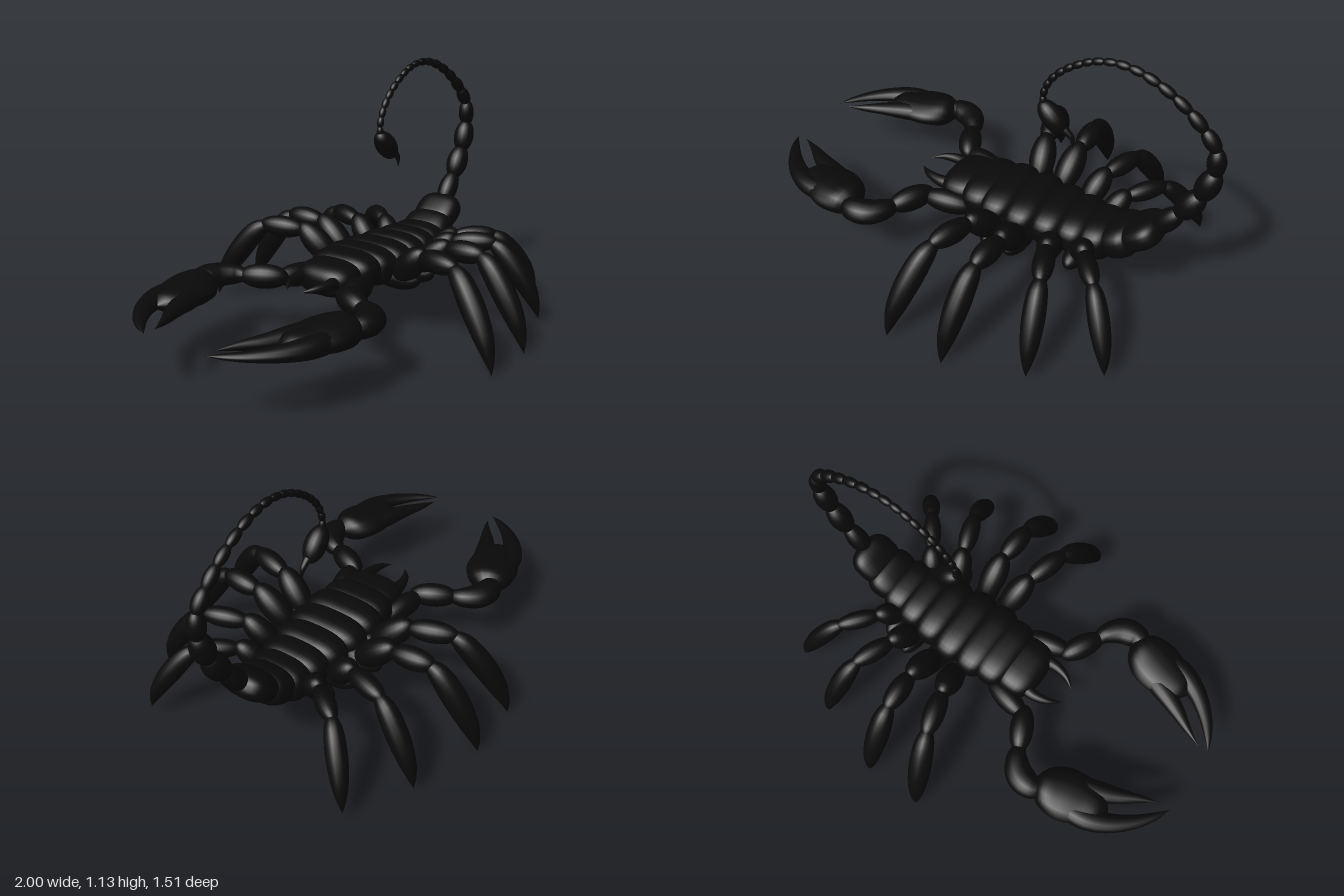
import * as THREE from 'three';
import { mergeVertices } from 'three/addons/utils/BufferGeometryUtils.js';

const shell = new THREE.MeshStandardMaterial({ color: 0x090909 });
shell.name = 'black shell';
const V = (x, y, z) => new THREE.Vector3(x, y, z);

function add(parent, name, geometry) {
  const mesh = new THREE.Mesh(geometry, shell);
  mesh.name = name;
  parent.add(mesh);
  return mesh;
}

// Ellipsoid stretched from a to b
function bead(parent, name, a, b, r) {
  const mesh = add(parent, name, new THREE.SphereGeometry(1, 20, 14));
  const d = b.clone().sub(a);
  mesh.scale.set(r, d.length() / 2, r);
  mesh.position.copy(a).add(b).multiplyScalar(0.5);
  mesh.quaternion.setFromUnitVectors(V(0, 1, 0), d.normalize());
}

// Rounded, slightly boxy plate of the body
function plate(parent, name, x, y, sx, sy, sz, tilt) {
  let g = new THREE.SphereGeometry(1, 32, 18);
  g.deleteAttribute('uv');
  g.deleteAttribute('normal');
  g.rotateZ(Math.PI / 2);
  const p = g.attributes.position;
  const box = (v) => (Math.abs(v) < 1e-6 ? 0 : Math.sign(v) * Math.abs(v) ** 0.75);
  for (let i = 0; i < p.count; i++) {
    p.setXYZ(i, box(p.getX(i)) * sx, box(p.getY(i)) * sy, box(p.getZ(i)) * sz);
  }
  g = mergeVertices(g, 1e-5);
  g.computeVertexNormals();
  const mesh = add(parent, name, g);
  mesh.position.set(x, y, 0);
  mesh.rotation.z = tilt;
}

// Sweep of elliptical sections; sizes are [half width, half height], ref is the height axis
function sweep(parent, name, points, sizes, ref) {
  const path = new THREE.CatmullRomCurve3(points);
  const size = new THREE.CatmullRomCurve3(sizes.map(([w, h]) => V(w, h, 0)), false, 'catmullrom', 0.5);
  const N = 24, M = 16, pos = [], index = [];
  for (let i = 0; i <= N; i++) {
    const c = path.getPoint(i / N), t = path.getTangent(i / N), s = size.getPoint(i / N);
    const side = t.clone().cross(ref).normalize();
    const up = side.clone().cross(t);
    for (let j = 0; j < M; j++) {
      const a = (j / M) * Math.PI * 2;
      const q = c.clone()
        .addScaledVector(side, Math.cos(a) * Math.max(s.x, 0.0005))
        .addScaledVector(up, Math.sin(a) * Math.max(s.y, 0.0005));
      pos.push(q.x, q.y, q.z);
      if (i < N) {
        const k = i * M + j, l = i * M + ((j + 1) % M);
        index.push(k, k + M, l, l, k + M, l + M);
      }
    }
  }
  const g = new THREE.BufferGeometry();
  g.setAttribute('position', new THREE.Float32BufferAttribute(pos, 3));
  g.setIndex(index);
  g.computeVertexNormals();
  add(parent, name, g);
}

function buildBody(root) {
  const body = new THREE.Group();
  body.name = 'body';
  root.add(body);
  // x, y, half length, half height, half width, tilt
  [
    [-0.12, 0.278, 0.1, 0.072, 0.142, 0.1],
    [-0.01, 0.287, 0.09, 0.082, 0.167, 0.05],
    [0.09, 0.285, 0.09, 0.088, 0.184, 0],
    [0.21, 0.283, 0.09, 0.088, 0.184, 0],
    [0.33, 0.283, 0.085, 0.088, 0.17, 0],
    [0.44, 0.283, 0.08, 0.086, 0.154, 0],
    [0.54, 0.285, 0.08, 0.085, 0.137, 0.1],
    [0.635, 0.32, 0.085, 0.075, 0.122, 0.5],
    [0.72, 0.383, 0.095, 0.06, 0.109, 0.65],
  ].forEach((s, i) => plate(body, 'bodySegment' + (i + 1), ...s));
}

function buildTail(root) {
  const tail = new THREE.Group();
  tail.name = 'tail';
  root.add(tail);
  // Joints between tail beads, with bead radii
  const joints = [
    [0.765, 0.42], [0.855, 0.54], [0.925, 0.66], [0.965, 0.785], [0.958, 0.89], [0.9, 0.96],
    [0.835, 1.017], [0.77, 1.06], [0.705, 1.093], [0.642, 1.115], [0.585, 1.125], [0.53, 1.125],
    [0.48, 1.115], [0.435, 1.1], [0.395, 1.078], [0.355, 1.052], [0.318, 1.022], [0.285, 0.988],
    [0.258, 0.95], [0.24, 0.91], [0.231, 0.868], [0.236, 0.825],
  ];
  const radii = [0.046, 0.051, 0.048, 0.037, 0.031, 0.027, 0.023, 0.021, 0.02, 0.018, 0.017];
  for (let i = 0; i + 1 < joints.length; i++) {
    const a = V(...joints[i], 0), b = V(...joints[i + 1], 0);
    const d = b.clone().sub(a).multiplyScalar(0.12);
    bead(tail, 'tailBead' + (i + 1), a.sub(d), b.add(d), radii[i] ?? 0.0155);
  }
  bead(tail, 'venomBulb', V(0.222, 0.842, 0), V(0.335, 0.722, 0), 0.047);
  sweep(tail, 'stinger', [V(0.3, 0.755, 0), V(0.345, 0.735, 0), V(0.37, 0.71, 0), V(0.375, 0.665, 0)],
    [[0.026, 0.026], [0.016, 0.016], [0.011, 0.011], [0, 0]], V(0, 0, 1));
}

// Hip, first joint, knee and foot as [x, z]; then knee height, foot height and thickness
const legs = [
  [[0.13, 0.17], [0.085, 0.34], [0.035, 0.51], [-0.05, 0.752], 0.385, 0.01, 1],
  [[0.24, 0.17], [0.25, 0.36], [0.24, 0.52], [0.218, 0.752], 0.385, 0.01, 1],
  [[0.38, 0.14], [0.425, 0.28], [0.485, 0.44], [0.548, 0.648], 0.365, 0.035, 0.92],
  [[0.49, 0.11], [0.56, 0.21], [0.66, 0.34], [0.812, 0.495], 0.345, 0.05, 0.85],
];

function buildLeg(root, spec, s, name) {
  const [hip, joint, knee, foot, ky, fy, k] = spec;
  const leg = new THREE.Group();
  leg.name = name;
  root.add(leg);
  const at = ([x, z], y) => V(x, y, z * s);
  const mix = (u) => [knee[0] + (foot[0] - knee[0]) * u, knee[1] + (foot[1] - knee[1]) * u];
  const between = (u) => fy + (ky - fy) * u;
  bead(leg, 'legHip', V(hip[0], 0.245, 0.05 * s), at(hip, 0.245).add(V(0, 0, 0.12 * s)), 0.053 * k);
  bead(leg, 'upperLeg', at(hip, 0.24), at(joint, ky + 0.02), 0.06 * k);
  const d = at(knee, ky).sub(at(joint, ky)).multiplyScalar(0.14);
  bead(leg, 'middleLeg', at(joint, ky - 0.01).sub(d), at(knee, ky).add(d), 0.049 * k);
  // Thick lower leg ending in a sharp foot
  const across = at(foot, 0).sub(at(knee, 0)).cross(V(0, 1, 0)).normalize();
  sweep(leg, 'lowerLeg',
    [at(mix(-0.12), ky + 0.005), at(mix(0.16), between(0.91)), at(mix(0.5), between(0.65)),
      at(mix(0.79), between(0.36)), at(mix(0.94), between(0.14)), at(foot, fy)],
    [[0.014, 0.014], [0.045, 0.043], [0.053, 0.051], [0.042, 0.04], [0.02, 0.019], [0, 0]]
      .map((r) => r.map((v) => v * k)), across);
}

function buildPincer(root, s, name) {
  const arm = new THREE.Group();
  arm.name = name;
  root.add(arm);
  const up = V(0, 1, 0);
  const P = (x, z, y = 0.27) => V(x, y, z * s);
  bead(arm, 'armBase', P(-0.02, 0.13, 0.25), P(-0.25, 0.185, 0.265), 0.052);
  bead(arm, 'upperArm', P(-0.225, 0.14), P(-0.325, 0.335), 0.054);
  sweep(arm, 'forearm', [P(-0.315, 0.29), P(-0.33, 0.35), P(-0.385, 0.41), P(-0.45, 0.425), P(-0.51, 0.4)],
    [[0.02, 0.02], [0.045, 0.042], [0.062, 0.05], [0.058, 0.05], [0.035, 0.035]], up);
  // Broad hand, flattened toward the fingers
  sweep(arm, 'hand', [P(-0.445, 0.41), P(-0.5, 0.394), P(-0.58, 0.37), P(-0.67, 0.347), P(-0.75, 0.337), P(-0.8, 0.335)],
    [[0.008, 0.01], [0.085, 0.06], [0.118, 0.06], [0.108, 0.051], [0.07, 0.038], [0, 0]], up);
  sweep(arm, 'outerFinger', [P(-0.6, 0.41), P(-0.72, 0.4), P(-0.82, 0.357), P(-0.91, 0.283), P(-0.965, 0.215), P(-1, 0.158)],
    [[0.05, 0.045], [0.052, 0.042], [0.043, 0.031], [0.03, 0.02], [0.017, 0.011], [0, 0]], up);
  sweep(arm, 'innerFinger', [P(-0.58, 0.31), P(-0.68, 0.282), P(-0.78, 0.24), P(-0.87, 0.192), P(-0.95, 0.155)],
    [[0.045, 0.04], [0.05, 0.04], [0.037, 0.028], [0.018, 0.017], [0, 0]], up);
  // Small mouth fang
  sweep(arm, 'fang', [P(-0.16, 0.075, 0.285), P(-0.23, 0.085, 0.285), P(-0.3, 0.07, 0.285), P(-0.355, 0.035, 0.28)],
    [[0.035, 0.03], [0.026, 0.025], [0.015, 0.016], [0, 0]], up);
}

export function createModel() {
  const root = new THREE.Group();
  root.name = 'scorpion';
  buildBody(root);
  buildTail(root);
  for (const [s, side] of [[1, 'left'], [-1, 'right']]) {
    legs.forEach((spec, i) => buildLeg(root, spec, s, side + 'Leg' + (i + 1)));
    buildPincer(root, s, side + 'Pincer');
  }
  return root;
}
